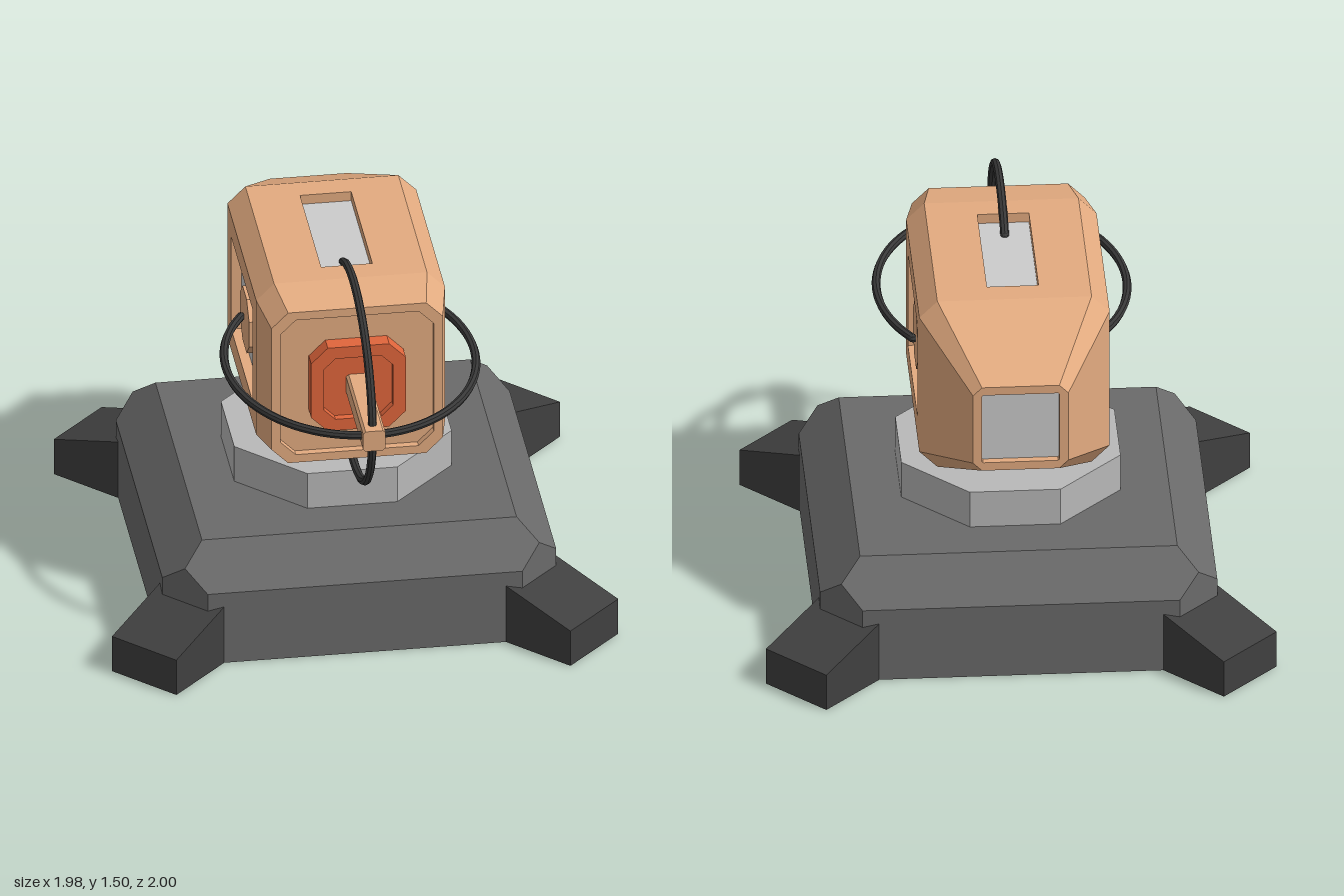
import * as THREE from 'three';
import { ConvexGeometry } from 'three/addons/geometries/ConvexGeometry.js';

const mat = (color) => new THREE.MeshStandardMaterial({ color, flatShading: true });
const shell = mat(0xe3ab80), red = mat(0xe0663c), grey = mat(0xcccccc);
const stone = mat(0xb8b8b8), dark = mat(0x6a6a6a), darker = mat(0x404040), rubber = mat(0x383838);
const V = (x, y, z) => new THREE.Vector3(x, y, z);

function add(parent, name, geometry, material, x = 0, y = 0, z = 0) {
  const mesh = new THREE.Mesh(geometry, material);
  mesh.name = name;
  mesh.position.set(x, y, z);
  parent.add(mesh);
  return mesh;
}

// square ring with cut corners in the xy plane, counter-clockwise
function octagon(h, cut, z) {
  const k = h - cut;
  return [[h, -k], [h, k], [k, h], [-k, h], [-h, k], [-h, -k], [-k, -h], [k, -h]]
    .map(([x, y]) => V(x, y, z));
}

// skins consecutive rings; skip(ring, side) leaves a gap, caps close the ends
function loft(rings, { capStart = false, capEnd = false, skip = () => false } = {}) {
  const points = [];
  const n = rings[0].length;
  for (let r = 0; r < rings.length - 1; r++) {
    for (let i = 0; i < n; i++) {
      if (skip(r, i)) continue;
      const j = (i + 1) % n, a = rings[r], b = rings[r + 1];
      points.push(a[i], a[j], b[j], a[i], b[j], b[i]);
    }
  }
  const first = rings[0], last = rings[rings.length - 1];
  for (let i = 1; i < n - 1; i++) {
    if (capStart) points.push(first[0], first[i + 1], first[i]);
    if (capEnd) points.push(last[0], last[i], last[i + 1]);
  }
  const geometry = new THREE.BufferGeometry().setFromPoints(points);
  geometry.computeVertexNormals();
  return geometry;
}

// rectangle facing +y
const rect = (w, y, z0, z1) => [V(w, y, z1), V(w, y, z0), V(-w, y, z0), V(-w, y, z1)];

function createBase() {
  const base = new THREE.Group();
  base.name = 'base';
  base.position.z = -0.015;

  // plinth with every upper and upright edge bevelled
  const o = 0.77, i = 0.615, m = (o + i) / 2, pts = [];
  for (const sx of [-1, 1]) for (const sz of [-1, 1]) {
    for (const y of [0, 0.31]) pts.push(V(sx * o, y, sz * i), V(sx * i, y, sz * o));
    pts.push(V(sx * m, 0.3875, sz * m), V(sx * i, 0.465, sz * i));
  }
  add(base, 'plinth', new ConvexGeometry(pts), dark);

  // wedge feet on the diagonals
  for (let k = 0; k < 4; k++) {
    const foot = [];
    for (const x of [-0.155, 0.155]) {
      foot.push(V(x, 0, 0.85), V(x, 0.275, 0.85), V(x, 0, 1.2445), V(x, 0.155, 1.2445));
    }
    add(base, 'foot', new ConvexGeometry(foot), darker).rotation.y = Math.PI / 4 + k * Math.PI / 2;
  }

  // turntable and neck
  add(base, 'turntable', new THREE.CylinderGeometry(0.46, 0.46, 0.16, 8), stone, 0, 0.54, 0.007)
    .rotation.y = Math.PI / 8;
  add(base, 'neck', new THREE.CylinderGeometry(0.25, 0.25, 0.16, 6), stone, 0, 0.69, 0.007)
    .rotation.y = Math.PI / 6;
  return base;
}

function createHead() {
  const head = new THREE.Group();
  head.name = 'head';
  head.position.y = 1.083;

  // housing from the sunken back panel to the sunken front face
  const H = 0.369, zBack = -0.39, zFront = 0.37;
  const rings = [
    octagon(0.15, 0.005, -0.72), octagon(0.15, 0.005, -0.75),
    octagon(0.185, 0.035, -0.75), octagon(H, 0.07, zBack),
    octagon(H, 0.07, zFront), octagon(0.335, 0.065, 0.545),
    octagon(0.3, 0.06, 0.545), octagon(0.3, 0.06, 0.515),
  ];
  add(head, 'housing', loft(rings, { capEnd: true, skip: (r, i) => r === 3 && i % 2 === 0 }), shell);
  add(head, 'backPanel', new THREE.BoxGeometry(0.3, 0.3, 0.02), grey, 0, 0, -0.71);

  // four sides: sunken panel and the cable that leaves it
  for (let k = 0; k < 4; k++) {
    const flank = k % 2 === 1;
    const side = new THREE.Group();
    side.name = ['topSide', 'leftSide', 'bottomSide', 'rightSide'][k];
    side.rotation.z = -k * Math.PI / 2;
    head.add(side);

    const w = flank ? 0.205 : 0.1, floor = H - 0.04;
    add(side, 'panelFrame', loft([
      rect(H - 0.07, H, zBack, zFront), rect(w, H, -0.29, 0.27), rect(w, floor, -0.29, 0.27),
    ]), shell);
    add(side, 'panel', new THREE.BoxGeometry(2 * w, 0.02, 0.56), grey, 0, floor - 0.01, -0.01);
    if (flank) {
      const hub = add(side, 'hub', loft([octagon(0.12, 0.065, 0), octagon(0.12, 0.065, 0.035)],
        { capEnd: true }), shell, 0, floor - 0.005, -0.005);
      hub.rotation.x = -Math.PI / 2;
    }

    // elliptical cable arc from the rod tip back to the panel
    const [a, c, b, zEnd] = flank ? [0.485, 0.355, 0.595, -0.03] : [0.4, 0.455, 0.495, 0.17];
    const tEnd = Math.acos((zEnd - c) / b), path = [];
    for (let s = 0; s <= 16; s++) {
      const t = tEnd * s / 16;
      path.push(V(0, a * Math.sin(t), c + b * Math.cos(t)));
    }
    add(side, 'cable', new THREE.TubeGeometry(new THREE.CatmullRomCurve3(path), 32, 0.017, 8), rubber);
    const end = path[16];
    add(side, 'cableEnd', new THREE.SphereGeometry(0.017, 8, 6), rubber, 0, end.y, end.z);
  }

  // emitter ring with a shallow dish, and the rod through it
  add(head, 'emitter', loft([
    octagon(0.185, 0.065, 0.5), octagon(0.185, 0.065, 0.58),
    octagon(0.135, 0.045, 0.58), octagon(0.135, 0.045, 0.55),
  ], { capEnd: true }), red);
  add(head, 'rod', loft([octagon(0.044, 0.01, 0.54), octagon(0.044, 0.01, 1)],
    { capStart: true, capEnd: true }), shell);
  return head;
}

export function createModel() {
  const model = new THREE.Group();
  model.name = 'turret';
  model.add(createBase(), createHead());
  return model;
}
